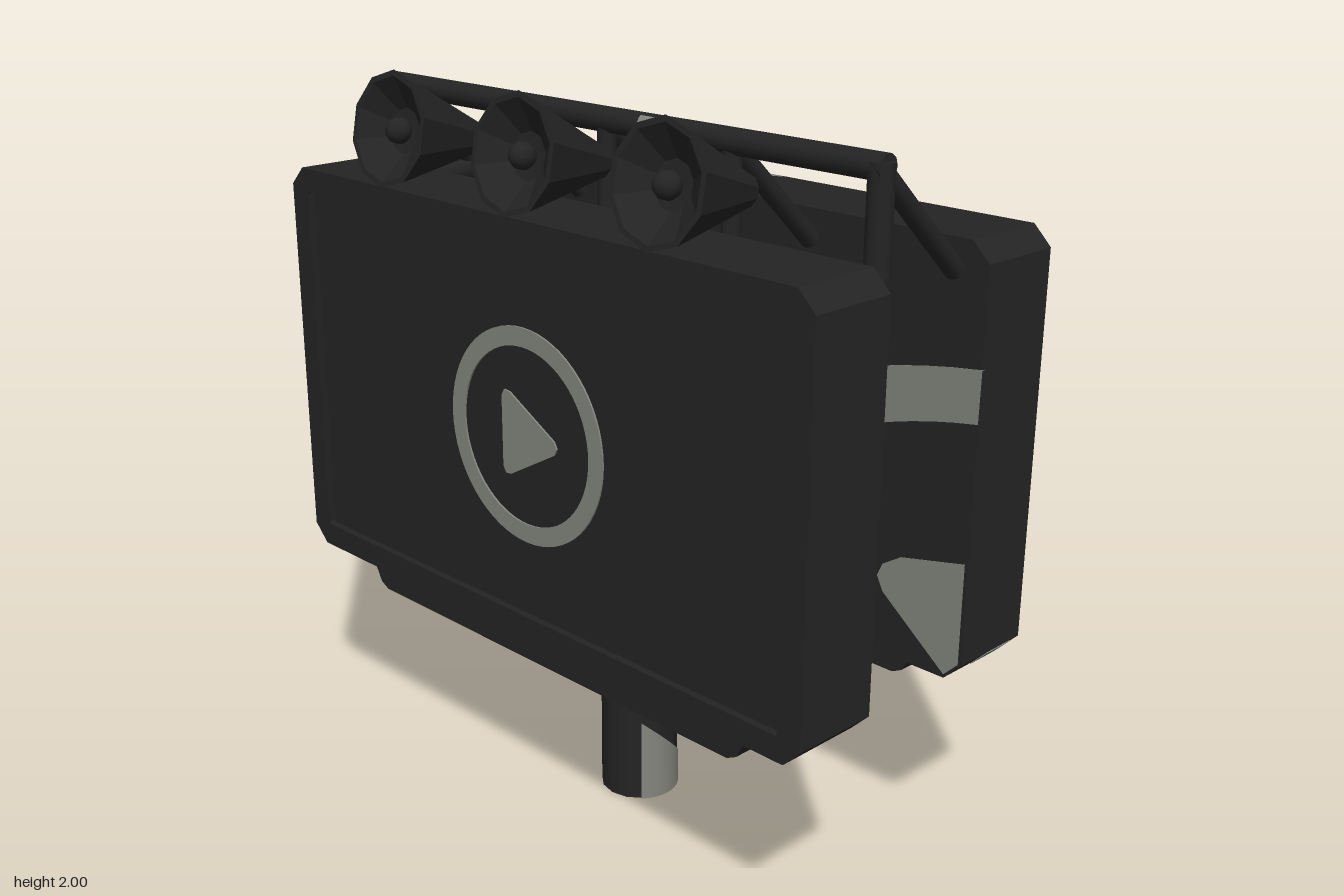
import * as THREE from 'three';

const dark = new THREE.MeshStandardMaterial({ color: 0x242424, side: THREE.DoubleSide });
dark.name = 'charcoal';
const light = new THREE.MeshStandardMaterial({ color: 0x83857d, side: THREE.DoubleSide });
light.name = 'pale grey';

const V = (x, y, z) => new THREE.Vector3(x, y, z);

function add(parent, name, geometry, material = dark) {
  const mesh = new THREE.Mesh(geometry, material);
  mesh.name = name;
  parent.add(mesh);
  return mesh;
}

// Round bar between two points
function bar(parent, name, a, b, r, material = dark) {
  const mesh = add(parent, name, new THREE.CylinderGeometry(r, r, a.distanceTo(b), 10), material);
  mesh.position.copy(a).add(b).multiplyScalar(0.5);
  mesh.quaternion.setFromUnitVectors(V(0, 1, 0), b.clone().sub(a).normalize());
  return mesh;
}

const shapeOf = (pts) => new THREE.Shape(pts.map(([x, y]) => new THREE.Vector2(x, y)));

function slab(shape, z0, z1) {
  const g = new THREE.ExtrudeGeometry(shape, { depth: z1 - z0, bevelEnabled: false, curveSegments: 32 });
  return g.translate(0, 0, z0);
}

// Rectangle with cut corners, centred on the panel
function cutRect(w, h, c) {
  const y = 1.146;
  return [[-w + c, y - h], [w - c, y - h], [w, y - h + c], [w, y + h - c],
    [w - c, y + h], [-w + c, y + h], [-w, y + h - c], [-w, y - h + c]];
}

function frameShape(w, h, c, iw, ih, ic) {
  const s = shapeOf(cutRect(w, h, c));
  s.holes.push(new THREE.Path(cutRect(iw, ih, ic).map(([x, y]) => new THREE.Vector2(x, y))));
  return s;
}

// Part of an elliptical ring; each edge is [rx, ry, startAngle, endAngle]
function arcBand(cx, cy, outer, inner) {
  const edge = ([rx, ry, t0, t1]) => Array.from({ length: 25 }, (_, i) => {
    const t = t0 + (t1 - t0) * i / 24;
    return [cx + rx * Math.cos(t), cy + ry * Math.sin(t)];
  });
  return shapeOf([...edge(outer), ...edge(inner).reverse()]);
}

function frontPanel() {
  const g = new THREE.Group();
  g.name = 'frontPanel';
  add(g, 'casing', slab(shapeOf(cutRect(0.94, 0.556, 0.05)), 0.16, 0.385));
  add(g, 'screenRim', slab(frameShape(0.94, 0.556, 0.05, 0.87, 0.49, 0.004), 0.385, 0.405));

  // Painted ring and arrowhead
  const ring = new THREE.Shape().absarc(0, 1.144, 0.285, 0, Math.PI * 2);
  ring.holes.push(new THREE.Path().absarc(0, 1.144, 0.235, 0, Math.PI * 2));
  add(g, 'paintedRing', slab(ring, 0.385, 0.39), light);
  const half = [[-0.085, 0.095], [-0.075, 0.112], [-0.055, 0.11], [0.11, 0.018]];
  const pts = [...half, [0.12, 0], ...half.map(([x, y]) => [x, -y]).reverse()];
  add(g, 'paintedArrowhead', slab(shapeOf(pts.map(([x, y]) => [x, y + 1.142])), 0.385, 0.39), light);
  return g;
}

function backPanel() {
  const g = new THREE.Group();
  g.name = 'backPanel';
  // Shallow tray, open to the rear
  add(g, 'trayWalls', slab(frameShape(0.94, 0.556, 0.05, 0.934, 0.55, 0.048), -0.445, -0.2));
  add(g, 'trayFloor', slab(shapeOf(cutRect(0.94, 0.556, 0.05)), -0.206, -0.2));

  // Paint showing on both faces of the floor
  const p = Math.PI;
  add(g, 'floorArc', slab(arcBand(1.23, 0.72,
    [1.33, 0.70, p - 1.351, p + 0.18], [1.09, 0.57, p - 1.30, p + 0.22]), -0.2075, -0.1985), light);
  add(g, 'floorArrowhead', slab(shapeOf([[0.93, 0.91], [0.74, 0.87], [0.685, 0.835],
    [0.67, 0.8], [0.69, 0.76], [0.89, 0.6], [0.93, 0.64]]), -0.2075, -0.1985), light);

  // Paint on the top wall and on two cut corners
  const top = slab(arcBand(-0.78, 0.805,
    [1.145, 0.58, -0.682, -1.667], [0.97, 0.475, -0.876, -1.684]), 0, 0.009);
  // mirrored so that the curve bows toward the front
  add(g, 'topArc', top.rotateX(-Math.PI / 2).translate(0, 1.6945, 0), light);
  for (const s of [1, -1]) {
    const patch = add(g, 'cornerPatch', new THREE.BoxGeometry(0.066, 0.009, 0.1), light);
    patch.position.set(s * 0.9135, 1.146 - s * 0.5295, s > 0 ? -0.36 : -0.28);
    patch.rotation.z = Math.PI / 4;
  }
  return g;
}

function horn(x) {
  const g = new THREE.Group();
  g.name = 'horn';
  const profile = [[0, 0], [0.04, 0], [0.15, 0.295], [0.135, 0.295], [0.06, 0.24], [0, 0.235]];
  const geo = new THREE.LatheGeometry(profile.map(([r, y]) => new THREE.Vector2(r, y)), 10).toNonIndexed();
  geo.computeVertexNormals();
  add(g, 'hornShell', geo);
  add(g, 'hornBulb', new THREE.SphereGeometry(0.035, 10, 8)).position.y = 0.26;
  g.position.set(x, 1.8, 0.12);
  g.rotation.x = Math.PI / 2 - 0.19;
  return g;
}

// Thin painted sleeve covering half of the top rail
function railPatch(parent, x0, x1, start) {
  const geo = new THREE.CylinderGeometry(0.036, 0.036, x1 - x0, 8, 1, true, start, Math.PI * 0.6);
  add(parent, 'railPatch', geo.rotateZ(Math.PI / 2), light).position.set((x0 + x1) / 2, 1.903, 0.1);
}

export function createModel() {
  const model = new THREE.Group();
  model.name = 'billboard';
  model.add(frontPanel(), backPanel());

  // Tapered ledges below both panels
  const ledge = shapeOf([[-0.67, 0.495], [0.67, 0.495], [0.7, 0.51], [0.745, 0.592],
    [-0.745, 0.592], [-0.7, 0.51]]);
  add(model, 'frontLedge', slab(ledge, 0.247, 0.352));
  add(model, 'backLedge', slab(ledge, -0.39, -0.285));

  // Pole, its painted patch with a slanting top, and two braces
  const pole = add(model, 'pole', new THREE.CylinderGeometry(0.108, 0.108, 0.53, 14));
  pole.position.set(0, 0.265, -0.013);
  const patch = new THREE.CylinderGeometry(0.111, 0.111, 0.2, 10, 1, true, Math.PI * 0.27, Math.PI * 0.48);
  patch.translate(0, 0.1, 0);
  const pos = patch.attributes.position;
  for (let i = 0; i < pos.count; i++) {
    if (pos.getY(i) > 0.1) pos.setY(i, 0.17 + 0.95 * pos.getZ(i));
  }
  add(model, 'polePatch', patch, light).position.z = -0.013;
  for (const s of [-1, 1]) {
    bar(model, 'poleBrace', V(s * 0.08, 0.37, -0.018), V(s * 0.345, 0.555, -0.018), 0.021);
  }

  // Cross-braced truss joining the panels at one end
  const truss = new THREE.Group();
  truss.name = 'sideTruss';
  model.add(truss);
  const tx = -0.853;
  for (const z of [0.135, -0.165]) bar(truss, 'trussPost', V(tx, 0.65, z), V(tx, 1.66, z), 0.027);
  for (const y of [0.675, 1.628]) bar(truss, 'trussBeam', V(tx, y, 0.16), V(tx, y, -0.2), 0.033);
  bar(truss, 'trussDiagonal', V(tx, 1.61, 0.11), V(tx, 0.69, -0.14), 0.02);
  bar(truss, 'trussDiagonal', V(tx, 0.69, 0.11), V(tx, 1.61, -0.14), 0.02);
  bar(truss, 'diagonalPatch', V(tx, 1.59, 0.104), V(tx, 1.41, 0.055), 0.022, light);

  // Top rail with posts and stays running back to the rear panel
  bar(model, 'topRail', V(-0.87, 1.903, 0.1), V(0.87, 1.903, 0.1), 0.032);
  for (const x of [-0.853, -0.42, 0, 0.42, 0.853]) {
    const end = Math.abs(x) > 0.8;
    bar(model, 'railPost', V(x, end ? 1.6 : 1.68, 0.1), V(x, 1.915, 0.1), end ? 0.032 : 0.025);
    bar(model, 'railStay', V(x, 1.885, 0.09), V(x, 1.625, -0.19), 0.025);
  }
  railPatch(model, 0.14, 0.23, -Math.PI * 0.3);
  railPatch(model, 0.42, 0.78, Math.PI * 0.75);
  railPatch(model, -0.6, -0.42, Math.PI * 0.75);

  for (const x of [-0.483, 0, 0.483]) model.add(horn(x));
  return model;
}
